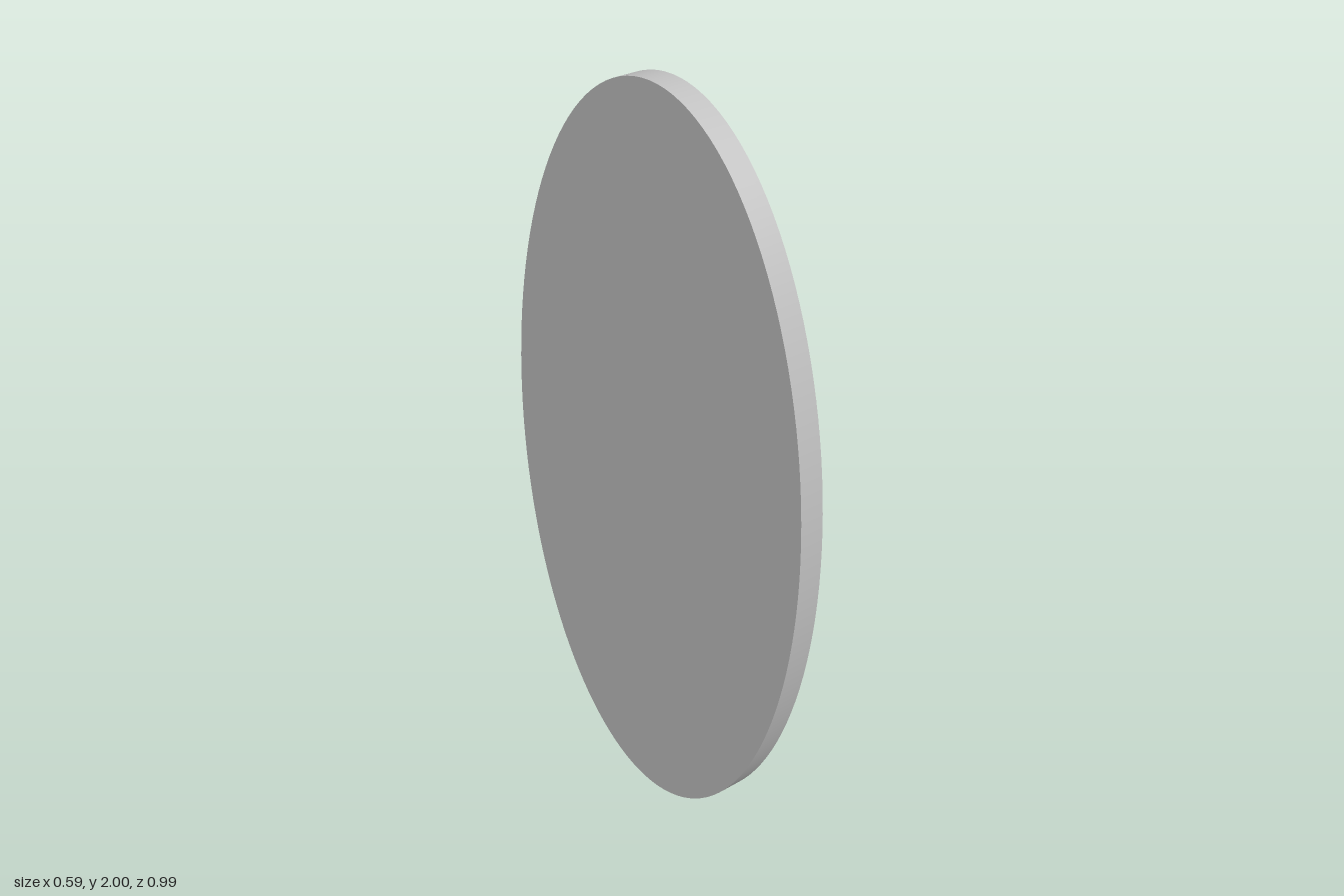
import * as THREE from 'three';

export function createModel() {
  const grey = new THREE.MeshStandardMaterial({ color: 0xc0c0c0 });
  grey.name = 'light grey';

  const thickness = 0.067, pegLength = 0.133, pegRadius = 0.067;
  const model = new THREE.Group();
  model.name = 'ovalPlateWithPegs';

  // Disc with its axis along z, facing the peg side
  const disc = (name, radius, depth, segments) => {
    const geometry = new THREE.CylinderGeometry(radius, radius, depth, segments);
    geometry.rotateX(Math.PI / 2);
    const mesh = new THREE.Mesh(geometry, grey);
    mesh.name = name;
    model.add(mesh);
    return mesh;
  };

  // Upright oval plate
  const plate = disc('ovalPlate', 1, thickness, 128);
  plate.scale.x = 0.546;
  plate.position.y = 1;

  // Two mounting pegs on the back of the plate
  for (const [name, y] of [['upperPeg', 1.536], ['lowerPeg', 0.472]]) {
    disc(name, pegRadius, pegLength, 48).position.set(0, y, (thickness + pegLength) / 2);
  }

  // Turn the whole piece about the vertical
  model.rotation.y = THREE.MathUtils.degToRad(119);
  const root = new THREE.Group();
  root.add(model);
  return root;
}
